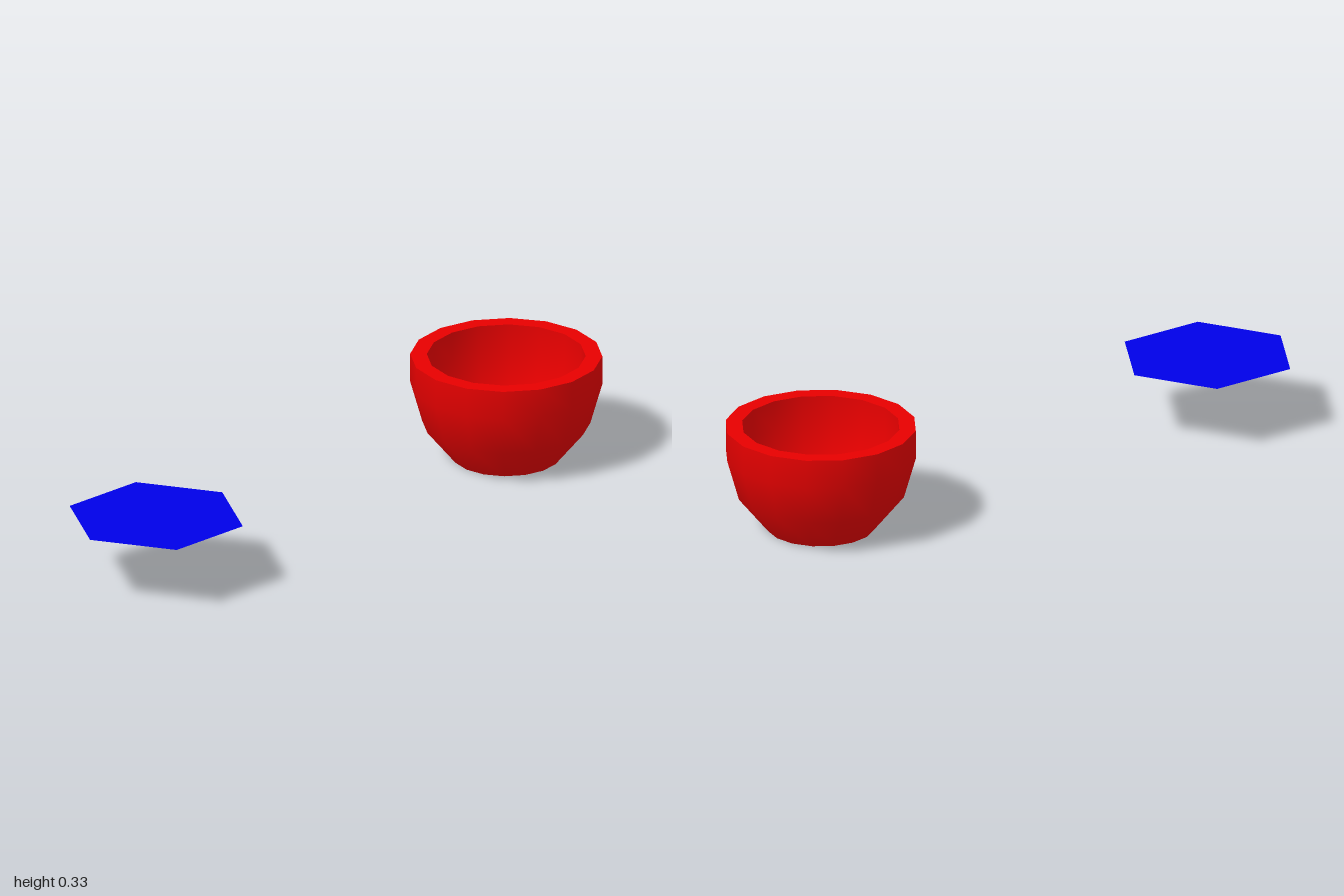
import * as THREE from 'three';

const SIDES = 16;

// Turns a run of [radius, height] points into a smooth band; separate bands meet in sharp edges.
function band(name, points, material) {
  const profile = points.map(([r, y]) => new THREE.Vector2(r, y));
  const mesh = new THREE.Mesh(new THREE.LatheGeometry(profile, SIDES), material);
  mesh.name = name;
  return mesh;
}

export function createModel() {
  const model = new THREE.Group();
  const red = new THREE.MeshStandardMaterial({ color: 0xe70000, side: THREE.DoubleSide });
  const blue = new THREE.MeshStandardMaterial({ color: 0x0000e7, side: THREE.DoubleSide });

  // Thick-walled bowl: base, outside, rim, inside and floor
  const bowl = new THREE.Group();
  bowl.name = 'bowl';
  bowl.position.x = 0.711;
  bowl.add(
    band('bowlBase', [[0, 0], [0.163, 0]], red),
    band('bowlOutside', [[0.163, 0], [0.253, 0.11], [0.289, 0.237], [0.289, 0.327]], red),
    band('bowlRim', [[0.289, 0.327], [0.239, 0.327]], red),
    band('bowlInside', [[0.239, 0.327], [0.239, 0.237], [0.212, 0.125], [0.163, 0.05]], red),
    band('bowlFloor', [[0.163, 0.05], [0, 0.05]], red)
  );
  model.add(bowl);

  // Flat hexagonal surface floating beside the bowl
  const liquid = new THREE.Mesh(new THREE.CircleGeometry(0.272, 6), blue);
  liquid.name = 'liquidSurface';
  liquid.rotation.x = -Math.PI / 2;
  liquid.position.set(-0.728, 0.212, 0);
  model.add(liquid);

  return model;
}
